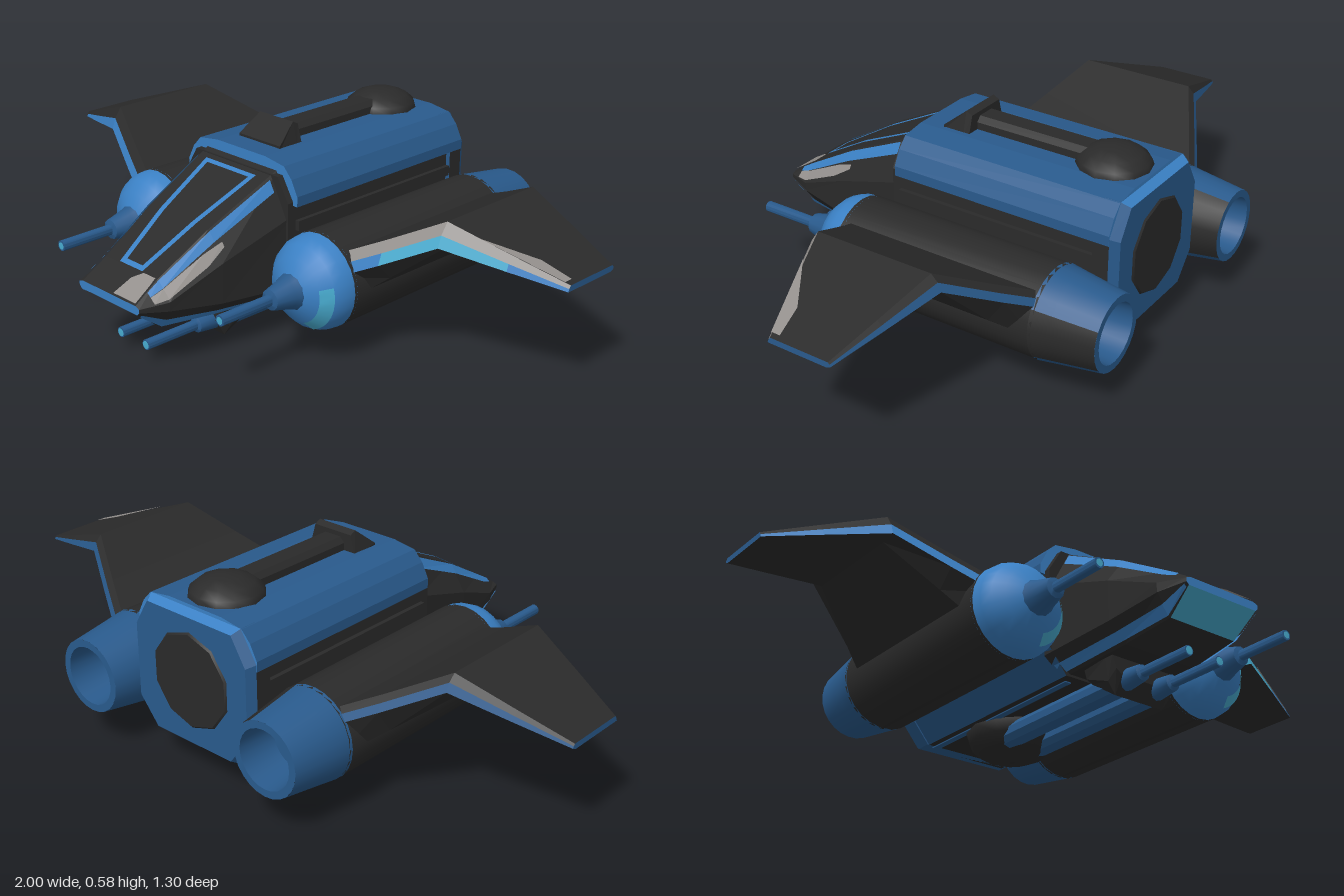
import * as THREE from 'three';
import { toCreasedNormals } from 'three/addons/utils/BufferGeometryUtils.js';

const paint = (name, color, side = THREE.FrontSide) => {
  const m = new THREE.MeshStandardMaterial({ color, side });
  m.name = name;
  return m;
};

export function createModel() {
  const root = new THREE.Group();
  root.name = 'spacecraft';
  const black = paint('charcoal', 0x2a2a2a);
  const blue = paint('steel blue', 0x295a8c);
  const bright = paint('bright blue', 0x3a80c4, THREE.DoubleSide);
  const cyan = paint('cyan', 0x48acd0, THREE.DoubleSide);
  const grey = paint('worn grey', 0x938f8c, THREE.DoubleSide);

  const add = (name, geo, mat, x = 0, y = 0, z = 0) => {
    const m = new THREE.Mesh(geo, mat);
    m.name = name;
    m.position.set(x, y, z);
    root.add(m);
    return m;
  };
  const flatGeometry = pos => {
    const g = new THREE.BufferGeometry();
    g.setAttribute('position', new THREE.Float32BufferAttribute(pos, 3));
    g.computeVertexNormals();
    return g;
  };

  // Flat-faced skin over rings of points; matAt picks the material of each face
  const loft = (name, rings, matAt, capMat) => {
    const buckets = new Map();
    let volume = 0;
    const tri = (a, b, c, m) => {
      if (!buckets.has(m)) buckets.set(m, []);
      buckets.get(m).push([a, b, c]);
      volume += a.dot(b.clone().cross(c));
    };
    const n = rings[0].length;
    for (let s = 0; s < rings.length - 1; s++) {
      for (let j = 0; j < n; j++) {
        const k = (j + 1) % n, m = matAt(s, j);
        tri(rings[s][j], rings[s + 1][j], rings[s + 1][k], m);
        tri(rings[s][j], rings[s + 1][k], rings[s][k], m);
      }
    }
    [rings[0], rings[rings.length - 1]].forEach((r, end) => {
      const c = r.reduce((p, q) => p.add(q), new THREE.Vector3()).divideScalar(n);
      r.forEach((p, j) => {
        const q = r[(j + 1) % n];
        if (end) tri(c, q, p, capMat); else tri(c, p, q, capMat);
      });
    });
    const groups = [], pos = [], mats = [];
    for (const [m, tris] of buckets) {
      groups.push([pos.length / 3, tris.length * 3, mats.length]);
      mats.push(m);
      for (const [a, b, c] of tris) {
        for (const p of volume < 0 ? [a, c, b] : [a, b, c]) pos.push(p.x, p.y, p.z);
      }
    }
    const geo = flatGeometry(pos);
    groups.forEach(g => geo.addGroup(...g));
    add(name, geo, mats);
  };

  // Ring at depth z from [x, y] points of one half, mirrored across the middle
  const ring = (z, half) => [
    ...half.map(([x, y]) => new THREE.Vector3(x, y, z)),
    ...[...half].reverse().map(([x, y]) => new THREE.Vector3(-x, y, z)),
  ];

  // Turned part along z; profile is [radius, z] from rear to front
  const turned = (name, profile, mat, x, y, sides = 24, start = 0, len = Math.PI * 2) => {
    const g = new THREE.LatheGeometry(profile.map(p => new THREE.Vector2(...p)), sides, start, len);
    g.rotateX(Math.PI / 2);
    add(name, toCreasedNormals(g, 0.6), mat, x, y);
  };

  // Main hull
  const hull = [[0.17, 0.48], [0.212, 0.41], [0.212, 0.17], [0.15, 0.095]];
  loft('hull', [ring(-0.53, hull), ring(0.18, hull)], (s, j) => (j === 2 || j === 4 ? blue : black), black);
  for (const s of [-1, 1]) {
    add('hullRib', new THREE.BoxGeometry(0.02, 0.03, 0.66), black, s * 0.215, 0.34, -0.18);
    add('bellyRib', new THREE.BoxGeometry(0.02, 0.015, 0.66), blue, s * 0.12, 0.099, -0.18);
  }

  // Roof shell and rear bulkhead
  const roof = [[0.1, 0.518], [0.175, 0.507], [0.205, 0.475], [0.228, 0.43], [0.228, 0.4]];
  loft('roofShell', [ring(-0.55, roof), ring(0.16, roof)], () => blue, bright);
  const rear = [[0.172, 0.508], [0.226, 0.42], [0.226, 0.18], [0.155, 0.095]];
  const rearIn = rear.map(([x, y]) => [x * 0.93, 0.305 + (y - 0.305) * 0.93]);
  loft('rearBulkhead', [ring(-0.576, rearIn), ring(-0.55, rear), ring(-0.5, rear)],
    (s, j) => (s === 1 && j % 4 === 1 ? black : s === 0 && j === 7 ? bright : blue), blue);
  turned('rearHatch', [[0, -0.581], [0.14, -0.581], [0.152, -0.57]], black, 0, 0.305, 10);

  // Wedge nose
  const noseData = [
    [0.15, [[0.145, 0.492], [0.208, 0.37], [0.205, 0.15], [0.14, 0.1]]],
    [0.4, [[0.125, 0.372], [0.185, 0.29], [0.182, 0.17], [0.125, 0.117]]],
    [0.57, [[0.11, 0.272], [0.162, 0.222], [0.16, 0.195], [0.115, 0.135]]],
    [0.65, [[0.115, 0.222], [0.13, 0.216], [0.13, 0.205], [0.122, 0.197]]],
  ];
  const noseRings = noseData.map(([z, h]) => ring(z, h));
  loft('nose', noseRings, (s, j) => (s === 2 && j === 3 ? cyan : black), bright);

  // Point just above nose face j (7 is the top), fraction u across it
  const onNose = (z, j, u) => {
    let s = 0;
    while (s < 2 && z > noseData[s + 1][0]) s++;
    const t = (z - noseData[s][0]) / (noseData[s + 1][0] - noseData[s][0]);
    const at = i => noseRings[s][i % 8].clone().lerp(noseRings[s + 1][i % 8], t);
    const a = at(j), b = at(j + 1), p = a.clone().lerp(b, u), d = b.sub(a);
    return p.add(new THREE.Vector3(-d.y, d.x, 0).normalize().multiplyScalar(0.005));
  };
  // Thin painted band between stops [z, u0, u1] on a nose face
  const band = (name, mat, j, stops) => {
    const pos = [];
    for (let i = 0; i < stops.length - 1; i++) {
      const [z0, a0, b0] = stops[i], [z1, a1, b1] = stops[i + 1];
      const [a, b, c, d] = [[z0, a0], [z0, b0], [z1, b1], [z1, a1]].map(([z, u]) => onNose(z, j, u));
      for (const p of [a, d, c, a, c, b]) pos.push(p.x, p.y, p.z);
    }
    add(name, flatGeometry(pos), mat);
  };
  for (const flip of [false, true]) {
    const m = (z, a, b) => (flip ? [z, 1 - b, 1 - a] : [z, a, b]);
    // Canopy frame, shoulder and chin stripes
    band('canopyFrame', bright, 7, [m(0.2, 0.13, 0.19), m(0.4, 0.19, 0.26), m(0.57, 0.28, 0.36)]);
    band('shoulderStripe', bright, flip ? 6 : 0, [m(0.19, 0.06, 0.34), m(0.4, 0.06, 0.38), m(0.57, 0.06, 0.42), m(0.61, 0.06, 0.42)]);
    band('chinStripe', bright, flip ? 4 : 2, [m(0.16, 0.45, 0.85), m(0.4, 0.45, 0.85), m(0.57, 0.45, 0.9), m(0.645, 0.2, 0.9)]);
  }
  band('canopyTop', bright, 7, [[0.2, 0.13, 0.87], [0.213, 0.134, 0.866]]);
  band('canopyBottom', bright, 7, [[0.556, 0.3, 0.7], [0.57, 0.3, 0.7]]);
  band('wornNoseSide', grey, 0, [[0.38, 0.5, 0.65], [0.44, 0.44, 0.82], [0.57, 0.44, 0.9], [0.61, 0.44, 0.95]]);
  band('wornNoseTop', grey, 7, [[0.572, 0.76, 0.98], [0.595, 0.64, 0.99], [0.648, 0.58, 0.99]]);

  // Engines with nozzles and nose cannons
  const dome = [[0.138, 0.18], [0.134, 0.22], [0.12, 0.25], [0.092, 0.28], [0.05, 0.3]];
  const nozzle = [[0.11, -0.648], [0.128, -0.52], [0.137, -0.46]];
  for (const s of [-1, 1]) {
    const x = s * 0.343, y = 0.227, panel = s > 0 ? 1.2 : 1.8;
    turned('engineBody', [[0.136, -0.47], [0.138, 0.19]], black, x, y);
    turned('nozzleInside', [[0, -0.53], [0.078, -0.53], [0.088, -0.648], [0.11, -0.648]], blue, x, y);
    turned('nozzleShell', nozzle, blue, x, y, 18, 0.9 + panel, Math.PI * 2 - panel);
    turned('nozzleSidePanel', nozzle, black, x, y, 6, 0.9, panel);
    turned('engineDome', dome, bright, x, y);
    turned('domeHighlight', dome.slice(2, 4).map(([r, z]) => [r + 0.002, z + 0.002]), cyan, x, y, 8, 0.35, 1.5);
    turned('cannon', [[0.058, 0.285], [0.05, 0.305], [0.044, 0.32], [0.03, 0.375], [0.016, 0.38], [0.016, 0.555], [0, 0.555]], blue, x, y, 12);
    turned('cannonMuzzle', [[0.011, 0.556], [0, 0.557]], cyan, x, y, 12);
  }

  // Gull wings: x, front z, rear z, top y, bottom y, edge thickness
  const wing = [
    [0.41, 0.205, -0.49, 0.325, 0.17, 1],
    [0.53, 0.157, -0.422, 0.384, 0.268, 1],
    [0.68, 0.095, -0.335, 0.462, 0.39, 1],
    [0.85, 0.024, -0.285, 0.402, 0.362, 0.6],
    [0.998, -0.04, -0.24, 0.35, 0.333, 0.25],
  ];
  for (const s of [-1, 1]) {
    const rings = wing.map(([x, zf, zr, yt, yb, t]) => [
      [zf - 0.035 * t, yt], [zf - 0.012 * t, yt - 0.033 * t], [zf, yt - 0.066 * t], [zf - 0.05 * t, yb],
      [zr + 0.05 * t, yb], [zr, yt - 0.045 * t], [zr + 0.01 * t, yt - 0.02 * t], [zr + 0.03 * t, yt],
    ].map(([z, y]) => new THREE.Vector3(s * x, y, z)));
    const edge = i => (s > 0 && (i === 1 || i === 2) ? cyan : bright);
    const faces = { 0: s > 0 ? grey : black, 5: blue };
    loft(s > 0 ? 'leftWing' : 'rightWing', rings, (i, j) => (j === 1 ? edge(i) : faces[j] || black), blue);
  }
  // Worn corner on the left wing tip
  const worn = [[0.77, 0.035], [0.985, -0.042], [0.985, -0.07], [0.9, -0.055]]
    .map(([x, z]) => [x, 0.465 - (x - 0.68) * 0.353, z]);
  add('wornWingTip', flatGeometry([0, 1, 2, 0, 2, 3].flatMap(i => worn[i])), grey);

  // Flattened dome
  const blister = (name, rx, ry, rz, y, z) => {
    const g = new THREE.SphereGeometry(1, 12, 8);
    g.scale(rx, ry, rz);
    add(name, g, black, 0, y, z);
  };

  // Roof turret
  blister('roofTurret', 0.112, 0.064, 0.112, 0.51, -0.43);
  loft('roofBoom', [-0.38, 0.03].map(z => ring(z, [[0.028, 0.556], [0.043, 0.54], [0.043, 0.5]])), () => black, black);
  loft('roofBoomHead', [
    ring(0.0, [[0.068, 0.57], [0.085, 0.51]]),
    ring(0.02, [[0.068, 0.58], [0.085, 0.51]]),
    ring(0.088, [[0.085, 0.525], [0.085, 0.51]]),
  ], () => black, black);

  // Belly turret with twin guns
  blister('bellyTurret', 0.14, 0.09, 0.15, 0.092, -0.267);
  for (const s of [-1, 1]) {
    const x = s * 0.055;
    turned('bellyGunHousing', [[0, -0.22], [0.036, -0.22], [0.036, 0.3], [0, 0.3]], blue, x, 0.056, 10);
    turned('bellyGun', [[0.034, 0.29], [0.028, 0.35], [0.024, 0.39], [0.015, 0.395], [0.015, 0.572], [0, 0.572]], blue, x, 0.058, 12);
    turned('bellyMuzzle', [[0.012, 0.573], [0, 0.574]], cyan, x, 0.058, 12);
  }
  loft('bellyBracket', [
    ring(0.22, [[0.12, 0.11], [0.11, 0.08], [0.09, 0.07]]),
    ring(0.31, [[0.12, 0.11], [0.11, 0.045], [0.085, 0.01]]),
    ring(0.34, [[0.12, 0.11], [0.105, 0.075], [0.085, 0.06]]),
  ], () => black, black);

  return root;
}
